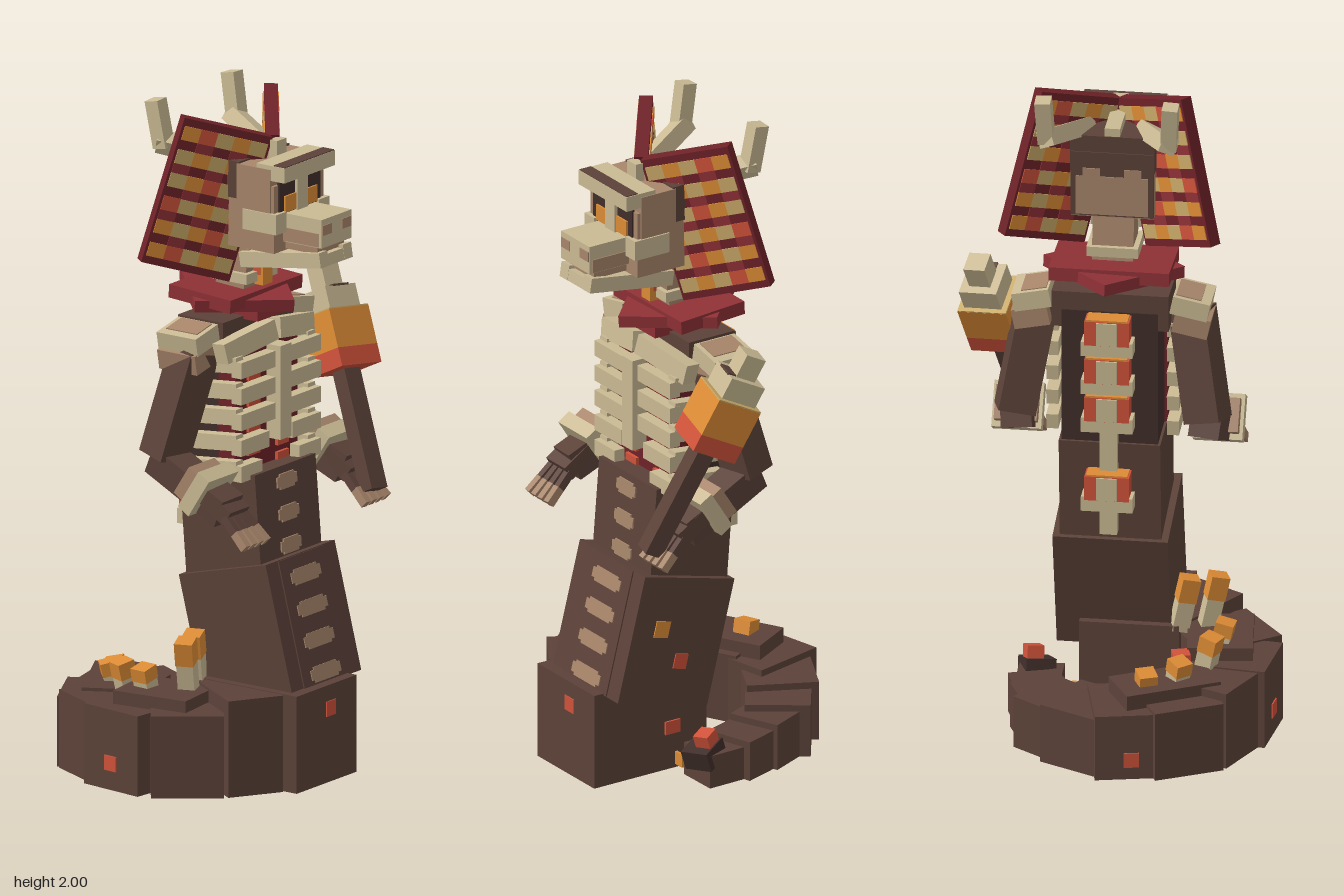
import * as THREE from 'three';

const mat = (name, color) => {
  const m = new THREE.MeshStandardMaterial({ color });
  m.name = name;
  return m;
};
const brown = mat('brown', 0x5c4239), dark = mat('darkBrown', 0x402e2a), bone = mat('bone', 0xcbbb94);
const clay = mat('clay', 0xa8866b), maroon = mat('maroon', 0x6e2228), crimson = mat('crimson', 0x8f3136);
const orange = mat('orange', 0xdd8c35), ember = mat('ember', 0xd0523a), gold = mat('gold', 0xcaaa68);

const UP = new THREE.Vector3(0, 1, 0);
const V = (a) => new THREE.Vector3(...a);

export function createModel() {
  const root = new THREE.Group();
  root.name = 'guardian';
  const body = new THREE.Group();
  body.name = 'body';
  body.position.x = 0.018;
  root.add(body);

  const box = (parent, name, m, size, pos, rot = [0, 0, 0]) => {
    const mesh = new THREE.Mesh(new THREE.BoxGeometry(...size), m);
    mesh.name = name;
    mesh.position.set(...pos);
    mesh.rotation.set(...rot);
    parent.add(mesh);
    return mesh;
  };
  // box stretched between two points
  const beam = (parent, name, m, a, b, w, d = w) => {
    const p = V(a), q = V(b), dir = q.clone().sub(p);
    const mesh = box(parent, name, m, [w, dir.length(), d], p.clone().add(q).multiplyScalar(0.5).toArray());
    mesh.quaternion.setFromUnitVectors(UP, dir.normalize());
    return mesh;
  };
  const group = (parent, name) => {
    const g = new THREE.Group();
    g.name = name;
    parent.add(g);
    return g;
  };

  // coiled tail: x, z, height, width
  const tail = group(root, 'tail');
  box(tail, 'tailFrontBlock', brown, [0.29, 0.29, 0.39], [-0.03, 0.145, 0.225]);
  const coil = [
    [-0.03, 0.26, 0.29, 0.27], [-0.19, 0.23, 0.288, 0.24], [-0.3, 0.12, 0.245, 0.25], [-0.335, -0.02, 0.24, 0.25],
    [-0.29, -0.15, 0.235, 0.24], [-0.2, -0.245, 0.21, 0.25], [-0.07, -0.29, 0.2, 0.23], [0.04, -0.27, 0.18, 0.21],
    [0.13, -0.21, 0.16, 0.19], [0.195, -0.13, 0.14, 0.16], [0.225, -0.03, 0.12, 0.15], [0.235, 0.07, 0.1, 0.13]];
  coil.slice(1).forEach(([x, z, h, w], i) => {
    const a = coil[i], b = coil[Math.min(i + 2, coil.length - 1)];
    const twist = i % 2 ? 0.12 : -0.08;
    const seg = box(tail, 'tailSegment', brown, [i === 0 ? 0.17 : i > 7 ? 0.15 : 0.21, h, w], [x, h / 2, z],
      [0, Math.atan2(a[1] - b[1], b[0] - a[0]) + twist, 0]);
    if (i === 2 || i === 5) box(seg, 'tailSpot', ember, [0.045, 0.045, 0.008], [0, -0.04, -w / 2]);
  });
  box(tail, 'tailUpperTier', brown, [0.29, 0.245, 0.15], [-0.17, 0.1225, -0.235], [0, 0.5, 0]);
  box(tail, 'tailUpperTier', brown, [0.19, 0.28, 0.24], [-0.295, 0.14, 0.04], [0, 0.12, 0]);
  box(tail, 'tailTip', dark, [0.09, 0.06, 0.09], [0.25, 0.09, 0.13], [0.3, 0.4, 0]);
  box(tail, 'tailTipEmber', ember, [0.05, 0.04, 0.05], [0.26, 0.14, 0.13], [0.3, 0.4, 0]);
  box(tail, 'tailSpot', orange, [0.04, 0.04, 0.008], [0.13, 0.03, 0.135]);
  box(tail, 'tailSpot', ember, [0.045, 0.045, 0.006], [-0.01, 0.22, 0.42]);
  box(tail, 'tailSpot', ember, [0.05, 0.05, 0.05], [-0.2, 0.25, -0.11], [0, 0.3, 0]);
  box(tail, 'tailSpot', ember, [0.008, 0.04, 0.05], [0.117, 0.13, 0.15]);

  // spikes along the coil, leaning outward
  [[-0.25, 0.27, 0.09, 0.16], [-0.17, 0.27, 0.06, 0.16], [-0.3, 0.25, -0.02, 0.09], [-0.27, 0.225, -0.11, 0.11],
    [-0.2, 0.21, -0.21, 0.09], [-0.115, 0.19, -0.255, 0.09]].forEach(([x, y, z, h]) => {
    const s = group(tail, 'tailSpike');
    s.position.set(x, y, z);
    s.rotation.y = Math.atan2(x, z) + Math.PI;
    s.rotateX(-0.22);
    box(s, 'spikeBase', bone, [0.05, h * 0.6, 0.05], [0, h * 0.3, 0]);
    box(s, 'spikeTip', orange, [0.054, h * 0.45, 0.054], [0, h * 0.8, 0]);
  });

  // rising lower body with belly plates
  const lower = group(body, 'lowerBody');
  lower.position.set(0, 0.43, 0.183);
  lower.rotation.x = -0.25;
  box(lower, 'lowerBlock', brown, [0.335, 0.385, 0.32], [0, 0, 0]);
  box(lower, 'bellyPanel', brown, [0.22, 0.38, 0.008], [0, 0, 0.16]);
  [-0.158, -0.06, 0.035, 0.13].forEach((y) => {
    box(lower, 'bellyPlate', clay, [0.14, 0.03, 0.008], [0, y, 0.163]);
    box(lower, 'bellyPlate', clay, [0.11, 0.046, 0.008], [0, y, 0.163]);
  });
  box(lower, 'sideSpot', orange, [0.008, 0.05, 0.05], [0.167, 0.035, 0.06]);
  box(lower, 'sideSpot', ember, [0.008, 0.045, 0.045], [0.167, -0.06, -0.03]);
  const middle = group(body, 'middleBody');
  middle.position.set(0, 0.74, 0.115);
  middle.rotation.x = -0.08;
  box(middle, 'middleBlock', brown, [0.295, 0.32, 0.27], [0, 0, 0]);
  [-0.075, 0.02, 0.115].forEach((y) => {
    box(middle, 'bellyPlate', clay, [0.095, 0.03, 0.008], [0, y, 0.136]);
    box(middle, 'bellyPlate', clay, [0.07, 0.046, 0.008], [0, y, 0.136]);
  });

  // chest and ribs
  const chest = group(body, 'chest');
  box(chest, 'chestCore', dark, [0.28, 0.44, 0.17], [0, 1.08, 0.06]);
  box(chest, 'chestTop', brown, [0.34, 0.11, 0.16], [0, 1.3, 0.06]);
  box(chest, 'innerShade', maroon, [0.3, 0.39, 0.06], [0, 1.075, 0.14]);
  [1.19, 1.112, 1.035, 0.965, 0.91].forEach((y) => [-1, 1].forEach((s) =>
    box(chest, 'innerGlow', ember, [0.055, 0.035, 0.05], [s * 0.07, y, 0.155])));
  box(chest, 'sternum', bone, [0.054, 0.28, 0.05], [0, 1.13, 0.215]);
  [1.23, 1.152, 1.075, 0.998, 0.92].forEach((y, i) => [-1, 1].forEach((s) => {
    const inner = [0.025, 0.025, 0.025, 0.055, 0.09][i];
    box(chest, 'frontRib', bone, [0.193 - inner, 0.048, 0.035], [s * (0.193 + inner) / 2, y, 0.205]);
    box(chest, 'sideRib', bone, [0.035, 0.046, 0.17], [s * 0.175, y + 0.004, 0.12], [-0.1, 0, 0]);
  }));
  [-1, 1].forEach((s) => beam(chest, 'collarbone', bone, [s * 0.005, 1.31, 0.19], [s * 0.21, 1.275, 0.16], 0.06, 0.05));

  // spine: ember vertebrae with bone ridges
  const spine = group(body, 'spine');
  box(spine, 'spineColumn', bone, [0.05, 0.68, 0.035], [0, 0.95, -0.04]);
  [1.26, 1.14, 1.02, 0.77].forEach((y) => {
    box(spine, 'vertebraCap', ember, [0.13, 0.075, 0.06], [0, y, -0.065]);
    box(spine, 'vertebraTop', orange, [0.12, 0.008, 0.055], [0, y + 0.038, -0.065]);
    box(spine, 'vertebraRidge', bone, [0.06, 0.07, 0.01], [0, y, -0.095]);
    box(spine, 'vertebra', bone, [0.15, 0.045, 0.055], [0, y - 0.05, -0.066]);
  });

  // collar and neck
  const collar = group(body, 'collar');
  box(collar, 'collarDiamond', crimson, [0.29, 0.035, 0.29], [0, 1.405, 0.065], [0.04, Math.PI / 4, 0.04]);
  box(collar, 'collarBand', crimson, [0.35, 0.04, 0.22], [0, 1.415, 0.06], [0.06, 0, 0]);
  box(collar, 'collarLower', crimson, [0.14, 0.05, 0.1], [0, 1.37, 0.14]);
  box(body, 'neck', clay, [0.12, 0.16, 0.1], [0, 1.48, 0.09], [0.15, 0, 0]);
  box(body, 'neckRing', bone, [0.15, 0.03, 0.13], [0, 1.465, 0.09]);
  box(body, 'throat', orange, [0.045, 0.07, 0.03], [0, 1.475, 0.16]);
  box(body, 'throatEmber', ember, [0.05, 0.04, 0.03], [0, 1.49, 0.15]);

  // skull
  const head = group(body, 'head');
  box(head, 'skull', clay, [0.24, 0.2, 0.255], [0, 1.675, 0.158]);
  box(head, 'skullTop', brown, [0.246, 0.11, 0.135], [0, 1.775, 0.095]);
  box(head, 'foreheadTop', clay, [0.25, 0.13, 0.12], [0, 1.76, 0.215]);
  box(head, 'skullBack', brown, [0.24, 0.2, 0.008], [0, 1.68, 0.028]);
  box(head, 'skullBackPatch', clay, [0.21, 0.12, 0.008], [0, 1.645, 0.025]);
  [-0.06, 0.06].forEach((x) => box(head, 'skullBackPatch', clay, [0.05, 0.03, 0.008], [x, 1.715, 0.025]));
  box(head, 'crownStrip', bone, [0.045, 0.05, 0.14], [0, 1.83, 0.1]);
  box(head, 'crownFront', bone, [0.045, 0.07, 0.03], [0, 1.845, 0.21]);
  box(head, 'brow', bone, [0.245, 0.045, 0.1], [0, 1.815, 0.275]);
  box(head, 'browShade', brown, [0.24, 0.006, 0.04], [0, 1.837, 0.304]);
  box(head, 'eyeBand', dark, [0.2, 0.11, 0.008], [0, 1.74, 0.286]);
  box(head, 'noseBridge', bone, [0.05, 0.19, 0.02], [0, 1.72, 0.29]);
  [-1, 1].forEach((s) => {
    box(head, 'eye', orange, [0.055, 0.048, 0.009], [s * 0.05, 1.715, 0.291]);
    box(head, 'cheek', bone, [0.05, 0.06, 0.12], [s * 0.105, 1.665, 0.24]);
    box(head, 'muzzleShade', clay, [0.044, 0.03, 0.006], [s * 0.048, 1.655, 0.42]);
    box(head, 'muzzleSide', clay, [0.006, 0.04, 0.14], [s * 0.073, 1.625, 0.34]);
    box(head, 'jawSide', bone, [0.04, 0.045, 0.29], [s * 0.058, 1.545, 0.275], [-0.15, 0, 0]);
  });
  box(head, 'snout', bone, [0.146, 0.085, 0.22], [0, 1.645, 0.31]);
  box(head, 'snoutUnderside', clay, [0.13, 0.03, 0.18], [0, 1.595, 0.31]);
  box(head, 'jaw', bone, [0.12, 0.035, 0.29], [0, 1.54, 0.275], [-0.15, 0, 0]);

  // striped headdress: two tilted panels meeting in a V
  const stripes = [gold, orange, gold, ember, orange];
  [-1, 1].forEach((s) => {
    const u = V([s * 0.21, 0.08, -0.16]), v = V([-s * 0.105, 0.42, 0.09]);
    const w = u.length(), h = v.length();
    const n = V([0, 0, 0]).crossVectors(u, v).normalize().multiplyScalar(s);
    const X = u.clone().normalize().multiplyScalar(s), Y = V([0, 0, 0]).crossVectors(n, X);
    const panel = group(body, 'headdressPanel');
    panel.position.copy(V([0, 1.885, 0.192])).addScaledVector(u, 0.5).addScaledVector(v, -0.5);
    panel.quaternion.setFromRotationMatrix(new THREE.Matrix4().makeBasis(X, Y, n));
    box(panel, 'panelBoard', maroon, [w, h, 0.04], [0, 0, 0]);
    for (let r = 0; r < 6; r++) {
      for (let c = 0; c < 5; c++) {
        [-1, 1].forEach((f) => {
          box(panel, 'stripeCell', stripes[(c + 2 * r) % 5], [0.052, 0.042, 0.006],
            [s * (c - 2) * 0.052, (r - 2.5) * 0.071, f * 0.02]);
          // crimson patches in the gaps between rows
          if (r < 5 && (c + r) % 2) box(panel, 'gapCell', crimson, [0.052, 0.029, 0.005],
            [s * (c - 2) * 0.052, (r - 2) * 0.071, f * 0.02]);
        });
      }
    }
    // horns
    beam(body, 'hornBase', bone, [s * 0.08, 1.82, 0.12], [s * 0.18, 1.865, -0.085], 0.05);
    beam(body, 'hornTip', bone, [s * 0.178, 1.85, -0.065], [s * 0.185, 1.99, -0.09], 0.046);
  });

  // arms, mirrored
  [-1, 1].forEach((s) => {
    const arm = group(body, s > 0 ? 'leftArm' : 'rightArm');
    box(arm, 'shoulderTop', bone, [0.11, 0.055, 0.14], [s * 0.23, 1.315, 0.06], [0, 0, -s * 0.2]);
    box(arm, 'shoulderPatch', clay, [0.075, 0.006, 0.11], [s * 0.225, 1.344, 0.06], [0, 0, -s * 0.2]);
    box(arm, 'shoulderSide', clay, [0.105, 0.06, 0.135], [s * 0.233, 1.26, 0.06], [0, 0, -s * 0.2]);
    beam(arm, 'upperArm', brown, [s * 0.225, 1.28, 0.08], [s * 0.28, 0.96, 0.01], 0.1, 0.11);
    beam(arm, 'forearm', brown, [s * 0.275, 0.96, -0.01], [s * 0.292, 0.84, 0.25], 0.09);
    const hand = group(arm, 'hand');
    hand.position.set(s * 0.292, 0.905, 0.16);
    hand.rotation.x = 0.57;
    box(hand, 'bracelet', bone, [0.145, 0.135, 0.045], [0, 0, 0.02]);
    box(hand, 'braceletCuff', clay, [0.125, 0.1, 0.04], [0, 0, -0.02]);
    box(hand, 'palm', brown, [0.095, 0.05, 0.1], [0, 0, 0.09]);
    [-1.5, -0.5, 0.5, 1.5].forEach((k) => {
      box(hand, 'finger', brown, [0.02, 0.026, 0.06], [k * 0.028, -0.01, 0.16], [0.2, k * 0.06, 0]);
      box(hand, 'fingertip', clay, [0.021, 0.027, 0.055], [k * 0.031, -0.02, 0.213], [0.2, k * 0.06, 0]);
    });
  });

  // mace held in the left hand
  const mace = group(root, 'mace');
  mace.position.set(0.295, 0.79, 0.35);
  mace.quaternion.setFromUnitVectors(UP, V([0.125, 0.61, -0.28]).normalize());
  mace.rotateY(-0.2);
  box(mace, 'maceHandle', brown, [0.06, 0.4, 0.055], [0, 0.2, 0]);
  box(mace, 'maceLower', ember, [0.15, 0.055, 0.145], [0, 0.385, 0]);
  box(mace, 'maceHead', orange, [0.15, 0.115, 0.145], [0, 0.47, 0]);
  box(mace, 'maceHeadTop', gold, [0.149, 0.006, 0.144], [0, 0.528, 0]);
  box(mace, 'maceCap', bone, [0.115, 0.075, 0.115], [0, 0.56, 0]);
  box(mace, 'maceCapShade', brown, [0.06, 0.006, 0.03], [0, 0.598, 0.045]);
  box(mace, 'maceTip', bone, [0.065, 0.08, 0.065], [0, 0.63, 0]);
  return root;
}
